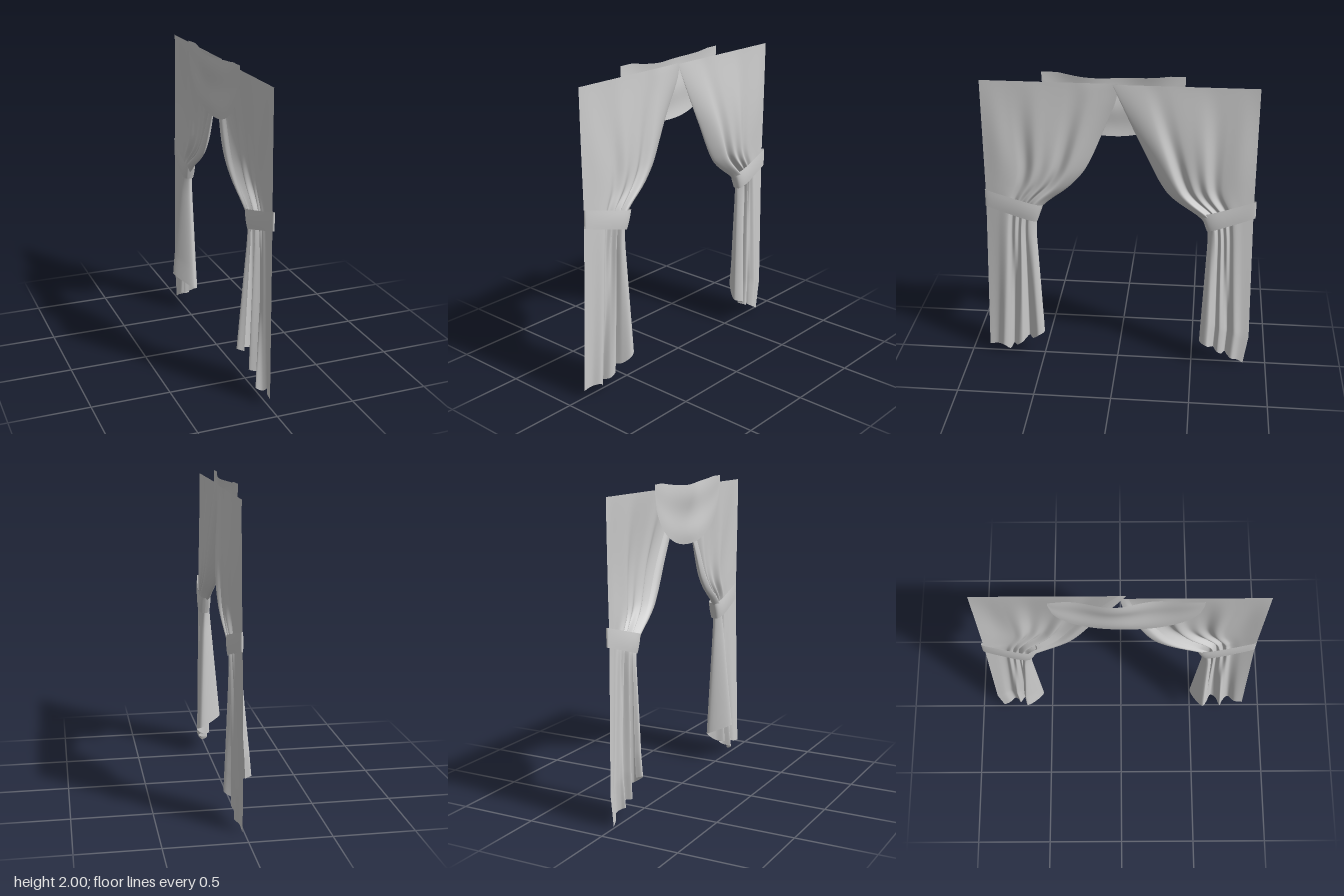
import * as THREE from 'three';

const cloth = new THREE.MeshStandardMaterial({ color: 0xcccccc, side: THREE.DoubleSide });
const lerp = THREE.MathUtils.lerp;

// Piecewise-linear lookup in [key, value] pairs with rising keys
function lookup(keys, t) {
  for (let i = 1; i < keys.length; i++) {
    const [a, va] = keys[i - 1], [b, vb] = keys[i];
    if (t <= b) return lerp(va, vb, (t - a) / (b - a));
  }
  return keys[keys.length - 1][1];
}

// The same lookup with its corners rounded
function smoothLookup(keys, t) {
  let sum = 0;
  for (let i = -3; i <= 3; i++) sum += lookup(keys, t + i * 0.02);
  return sum / 7;
}

// Sheet from rows of points, all rows of equal length
function sheet(name, rows) {
  const n = rows[0].length, index = [];
  for (let j = 0; j < rows.length - 1; j++) {
    for (let i = 0; i < n - 1; i++) {
      const a = j * n + i, b = a + n;
      index.push(a, b, a + 1, a + 1, b, b + 1);
    }
  }
  const g = new THREE.BufferGeometry().setFromPoints(rows.flat());
  g.setIndex(index);
  g.computeVertexNormals();
  const mesh = new THREE.Mesh(g, cloth);
  mesh.name = name;
  return mesh;
}

// Pleat cross-sections at the rail and the tieback: s runs from the outer edge (0)
// to the inner edge (1), where the hem turns back
const RAIL = [0, 0.1, 0.2, 0.3, 0.4, 0.5, 0.6, 0.7, 0.8, 0.92, 1, 0.98, 0.95];
const TIE = {
  s: [0, 0.25, 0.45, 0.53, 0.6, 0.66, 0.72, 0.78, 0.84, 0.92, 1, 0.9, 0.84],
  x: [0.015, 0.03, 0.04, 0.025, 0.05, 0.025, 0.055, 0.015, 0.055, 0.045, 0.02, -0.01, 0],
};

// One curtain: v = 0 at the rail, 1 at the tieback, 2 at the hem
function curtain(name, o) {
  const rows = [];
  for (let j = 0; j <= 80; j++) {
    const v = j / 40;
    const outer = lookup(o.outer, v), inner = smoothLookup(o.inner, v);
    const points = RAIL.map((f, i) => {
      const tieY = lerp(o.tieY[0], o.tieY[1], TIE.s[i]);
      let s, x, y;
      if (v <= 1) {
        // Folds along the inner edge start near the rail, the others lower down
        const w = lerp(v ** 1.7, v ** 0.7, f ** 3);
        s = lerp(f, TIE.s[i], w);
        x = lerp(o.rail, TIE.x[i], w);
        x += Math.sin(Math.PI * v ** 1.2) * (o.bulge * Math.sin(2.4 * f) + o.roll * f ** 6
          + 0.009 * Math.sin(1.7 * i));
        y = lerp(1.95, tieY, v);
      } else {
        const t = v - 1;
        s = lerp(TIE.s[i], o.hem.s[i], t);
        x = lerp(TIE.x[i], o.hem.x[i], t);
        y = lerp(tieY, o.hem.y[i], t);
      }
      return new THREE.Vector3(x, y, lerp(outer, inner, s));
    });
    rows.push(new THREE.CatmullRomCurve3(points, false, 'centripetal').getPoints(96));
  }
  return sheet(name, rows);
}

// Sloping band, flat at the outer edge and fuller round the gathered folds
function tieback(name, outer, inner, y0, y1) {
  const rows = [];
  for (let j = 0; j <= 6; j++) {
    const h = j / 3 - 1, row = [];
    for (let i = 0; i <= 48; i++) {
      const a = (i / 48) * Math.PI * 2, c = Math.cos(a), q = Math.sin(a);
      const f = 0.5 + 0.5 * Math.sign(c) * Math.abs(c) ** 0.8;
      const half = lerp(0.014, 0.05, f ** 1.2) * Math.sign(q) * Math.abs(q) ** 0.6;
      const slant = Math.sign(outer) * 0.02 * h * f;
      row.push(new THREE.Vector3(
        0.022 + half * (1 + 0.12 * (1 - h * h)),
        lerp(y0, y1, f) + h * 0.057,
        lerp(outer, inner, f) - slant));
    }
    rows.push(row);
  }
  return sheet(name, rows);
}

// Half-moon swag hanging behind the rail
function swag() {
  const rows = [];
  for (let j = 0; j <= 16; j++) {
    const d = j / 16, row = [];
    for (let i = 0; i <= 48; i++) {
      const t = i / 24 - 1, r = Math.abs(t);
      const top = 1.968 + 0.032 * Math.min(1, r * 1.3) ** 2 - (t < 0 ? 0.008 * r : 0);
      const bottom = 1.595 + 0.355 * (1 - Math.sqrt(1 - Math.min(1, r ** 2.2)));
      const x = -0.036 - 0.02 * (1 - d) * (1 - r * r) * Math.cos(5 * t + 1)
        - 0.006 * Math.sin(d * Math.PI * 3) * (1 - r);
      row.push(new THREE.Vector3(x, lerp(top, bottom, d), 0.03 + 0.44 * t));
    }
    rows.push(row);
  }
  return sheet('swag', rows);
}

export function createModel() {
  const model = new THREE.Group();
  model.name = 'tiedCurtains';

  // Curtain and tieback on the front (+z) half
  model.add(curtain('frontCurtain', {
    outer: [[0, 0.85], [1, 0.845], [2, 0.88]],
    inner: [[0, 0], [0.1, 0], [0.4, 0.105], [0.51, 0.143], [0.63, 0.19], [0.72, 0.24],
      [0.85, 0.36], [0.92, 0.475], [1, 0.515], [1.15, 0.525], [2, 0.49]],
    tieY: [1.17, 1.075], rail: 0.008, bulge: 0.015, roll: -0.045,
    hem: {
      s: [0, 0.15, 0.27, 0.37, 0.42, 0.5, 0.6, 0.7, 0.78, 0.9, 1, 0.78, 0.7],
      x: [0.005, 0.01, 0.045, 0.02, -0.02, 0.035, 0.045, -0.02, 0.035, 0.08, 0.05, -0.09, -0.05],
      y: [0.05, 0.06, 0.07, 0.03, 0.05, 0.07, 0.1, 0.12, 0.13, 0.18, 0.2, 0.26, 0.25],
    },
  }));
  model.add(tieback('frontTieback', 0.85, 0.495, 1.17, 1.078));

  // Curtain and tieback on the back (-z) half
  model.add(curtain('backCurtain', {
    outer: [[0, -0.86], [1, -0.86], [1.82, -0.88], [2, -0.85]],
    inner: [[0, 0.03], [0.1, -0.01], [0.39, -0.13], [0.5, -0.18], [0.61, -0.225], [0.72, -0.275],
      [0.83, -0.345], [0.92, -0.475], [1, -0.57], [1.15, -0.58], [2, -0.55]],
    tieY: [1.155, 1.055], rail: 0.024, bulge: 0.04, roll: -0.01,
    hem: {
      s: [0, 0.15, 0.27, 0.37, 0.42, 0.5, 0.6, 0.68, 0.74, 0.84, 1, 0.64, 0.6],
      x: [0.01, 0.02, 0.045, 0.025, 0, 0.035, 0.045, 0, 0.035, 0.08, 0.04, -0.08, -0.04],
      y: [0, 0.03, 0.05, 0.07, 0.08, 0.08, 0.1, 0.11, 0.13, 0.16, 0.18, 0.27, 0.26],
    },
  }));
  model.add(tieback('backTieback', -0.875, -0.55, 1.155, 1.057));

  model.add(swag());
  return model;
}
